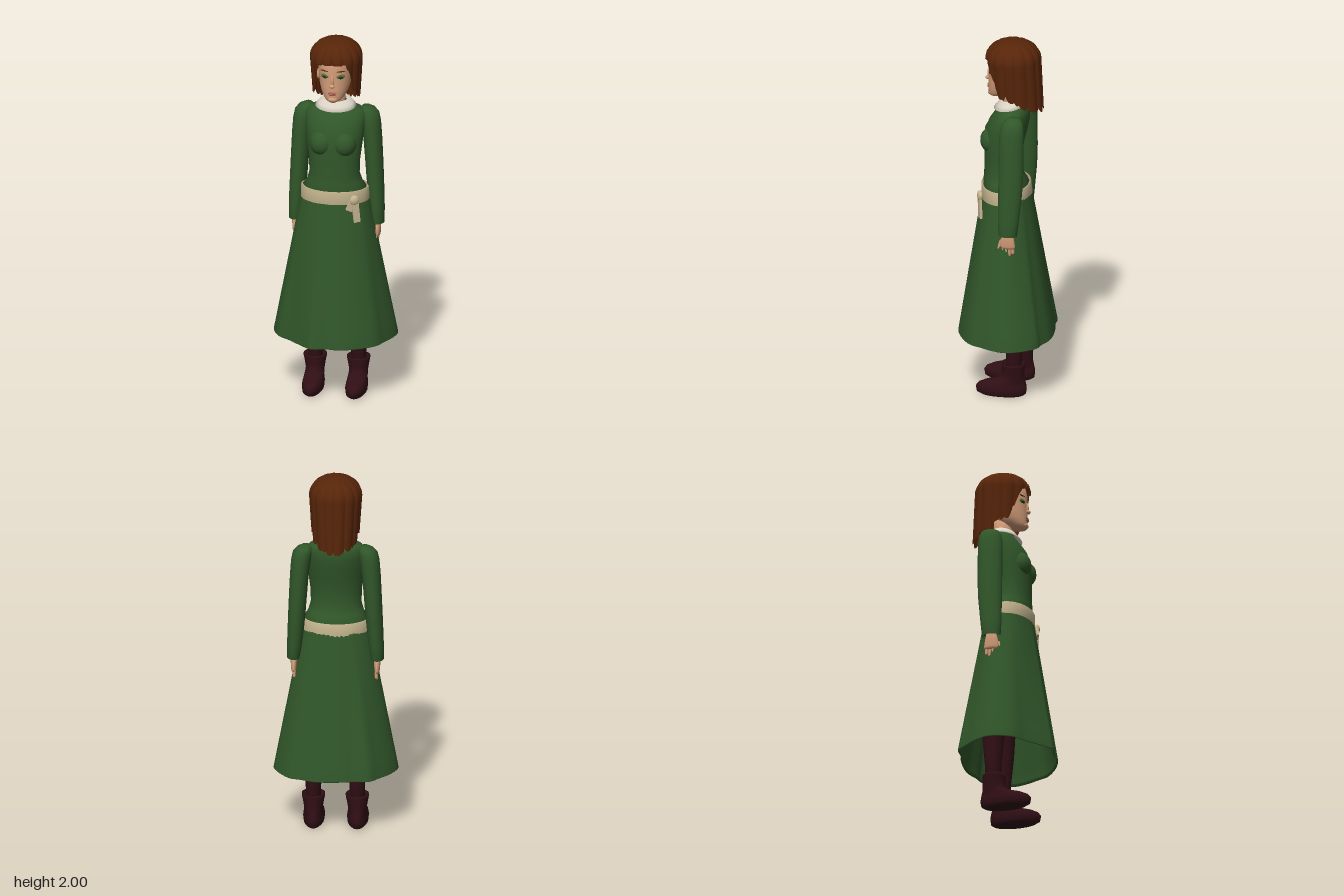
import * as THREE from 'three';

const mat = (name, color, side = THREE.FrontSide) => {
  const m = new THREE.MeshStandardMaterial({ color, side });
  m.name = name;
  return m;
};
const TAU = Math.PI * 2;

// Skin a stack of closed rings (listed bottom to top) into a smooth surface.
function skin(rings, capBottom = false, capTop = false) {
  const n = rings[0].length, pos = [], idx = [];
  rings.forEach(r => r.forEach(p => pos.push(p[0], p[1], p[2])));
  for (let j = 0; j < rings.length - 1; j++) for (let i = 0; i < n; i++) {
    const k = (i + 1) % n, a = j * n + i, b = j * n + k, c = b + n, d = a + n;
    idx.push(a, b, c, a, c, d);
  }
  const cap = (j, up) => {
    const c = pos.length / 3, mid = [0, 1, 2].map(q => rings[j].reduce((s, p) => s + p[q], 0) / n);
    pos.push(...mid);
    for (let i = 0; i < n; i++) {
      const a = j * n + i, b = j * n + (i + 1) % n;
      up ? idx.push(a, b, c) : idx.push(b, a, c);
    }
  };
  if (capBottom) cap(0, false);
  if (capTop) cap(rings.length - 1, true);
  const g = new THREE.BufferGeometry();
  g.setAttribute('position', new THREE.Float32BufferAttribute(pos, 3));
  g.setIndex(idx);
  g.computeVertexNormals();
  return g;
}

// Elliptical ring: height, half width, front z, back z, centre x.
const ring = ([y, rx, zf, zb, cx = 0], n = 32) => Array.from({ length: n }, (_, i) => {
  const t = i / n * TAU;
  return [cx + rx * Math.sin(t), y, (zf + zb) / 2 + (zf - zb) / 2 * Math.cos(t)];
});
const loft = (rows, caps = true, n = 32) => skin(rows.map(r => ring(r, n)), caps, caps);

// Piecewise linear lookup.
function lookup(table, x) {
  for (let i = 1; i < table.length; i++) if (x <= table[i][0]) {
    const [x0, y0] = table[i - 1], [x1, y1] = table[i];
    return y0 + (y1 - y0) * (x - x0) / (x1 - x0);
  }
  return table[table.length - 1][1];
}

// Lobed hair shell: short fringe, long back, pointed lock ends.
function hairShell(scale, lobes, phase, depth) {
  const n = 144, hem = [[0, 1.9], [30, 1.885], [40, 1.85], [50, 1.76], [62, 1.7], [95, 1.68], [125, 1.63], [180, 1.6]];
  const rings = [];
  for (let j = 0; j <= 22; j++) rings.push(Array.from({ length: n }, (_, i) => {
    const t = i / n * TAU, deg = Math.abs(t > Math.PI ? t - TAU : t) * 180 / Math.PI;
    const lobe = Math.sqrt(Math.abs(Math.sin(t * lobes / 2 + phase)));
    const bottom = lookup(hem, deg) + (1 - lobe) * 0.045;
    let y, r, fall = 0;
    if (j >= 10) {
      const a = (22 - j) / 12 * Math.PI / 2;
      r = Math.pow(Math.sin(a), 0.85);
      y = 1.895 + 0.105 * scale * Math.cos(a);
    } else {
      const s = 1 - j / 10;
      y = 1.895 + (bottom - 1.895) * s;
      r = 1;
      fall = Math.max(0, 1.895 - y) / 0.3;
    }
    r *= scale * (1 - depth * (1 - lobe));
    const back = Math.max(0, -Math.cos(t));
    return [0.142 * r * (1 - 0.14 * fall) * Math.sin(t), y,
      -0.037 + 0.15 * r * (1 - 0.1 * fall * (1 - back)) * Math.cos(t) - 0.015 * fall];
  }));
  return skin(rings);
}

export function createModel() {
  const green = mat('dress green', 0x31572a, THREE.DoubleSide);
  const brown = mat('hair brown', 0x572509, THREE.DoubleSide);
  const flesh = mat('skin', 0xd29c78);
  const cream = mat('belt cream', 0xc6b690, THREE.DoubleSide);
  const linen = mat('collar linen', 0xd9d2c4, THREE.DoubleSide);
  const leather = mat('boot leather', 0x300f15);
  const lid = mat('eyelid green', 0x56703c);
  const iris = mat('eye dark', 0x24301c);
  const lips = mat('lips', 0xb06a56);

  const model = new THREE.Group();
  const add = (name, geo, m, parent = model) => {
    const o = new THREE.Mesh(geo, m);
    o.name = name;
    parent.add(o);
    return o;
  };
  const blob = (name, m, p, s, parent = model) => {
    const o = add(name, new THREE.SphereGeometry(1, 20, 14), m, parent);
    o.position.set(...p);
    o.scale.set(...s);
    return o;
  };

  // Skirt: waist ellipse blended down to an uneven hem with a turned-in lip
  const hem = new THREE.CatmullRomCurve3([
    [0, .245], [.06, .25], [.17, .21], [.25, .15], [.28, .09], [.31, .03], [.33, -.04], [.32, -.1], [.24, -.21],
    [.19, -.225], [.1, -.26], [-.06, -.255], [-.1, -.245], [-.19, -.24], [-.24, -.19], [-.3, -.12], [-.335, -.04],
    [-.3, .08], [-.23, .14], [-.12, .24], [-.09, .26],
  ].map(([x, z]) => new THREE.Vector3(x, 0, z)), true).getPoints(84).slice(0, 84);
  const skirtRing = (t, y, k = 1) => hem.map(p => {
    const a = Math.atan2(p.x / .33, p.z / .255);
    const wx = .178 * Math.sin(a), wz = -.003 + .128 * Math.cos(a);
    return [(wx + (p.x - wx) * t) * k, y, (wz + (p.z - wz) * t) * k];
  });
  const skirt = [skirtRing(1, .34, .965), skirtRing(1, .325, .985), skirtRing(1, .33)];
  for (let i = 1; i <= 10; i++) skirt.push(skirtRing(1 - i / 10, .33 + .82 * i / 10));
  add('skirt', skin(skirt), green);

  // Bodice
  add('bodice', loft([
    [1.1, .165, .12, -.12], [1.18, .168, .122, -.115], [1.215, .148, .12, -.095], [1.26, .135, .117, -.08],
    [1.34, .138, .117, -.08], [1.42, .148, .117, -.095], [1.48, .155, .113, -.11], [1.54, .16, .092, -.122],
    [1.585, .16, .062, -.123], [1.612, .14, .04, -.115], [1.63, .1, .03, -.1], [1.65, .06, .015, -.085],
  ]), green);

  // Belt with knot and hanging ends
  add('belt', loft([[1.115, .176, .122, -.125], [1.11, .185, .132, -.137], [1.18, .182, .132, -.13],
    [1.18, .172, .122, -.12]], false, 48), cream);
  const knot = new THREE.Group();
  knot.name = 'beltKnot';
  knot.position.set(.12, 1.15, .11);
  knot.rotation.y = .45;
  model.add(knot);
  blob('knot', cream, [0, -.01, .01], [.026, .028, .016], knot);
  for (const [len, tilt, z] of [[.135, .1, .012], [.075, -.42, .006]]) {
    const end = add('beltEnd', new THREE.BoxGeometry(.036, len, .014), cream, knot);
    end.position.set(Math.sin(tilt) * len / 2, -Math.cos(tilt) * len / 2, z);
    end.rotation.z = tilt;
  }

  // Collar: flared band dipping at the front
  const collarRing = (y, rx, zf, zb, dip) => ring([y, rx, zf, zb], 40)
    .map(([x, h, z]) => [x, h - dip * (z + .03) / .1, z]);
  add('collar', skin([collarRing(1.632, .095, .05, -.1, .014), collarRing(1.628, .11, .065, -.108, .016),
    collarRing(1.645, .095, .05, -.1, .015), collarRing(1.668, .068, .028, -.09, .012),
    collarRing(1.66, .058, .02, -.084, .012)]), linen);

  // Neck, head and face
  add('neck', loft([[1.6, .055, .015, -.09], [1.66, .048, .012, -.085], [1.73, .047, .015, -.085]]), flesh);
  add('head', loft([
    [1.676, .02, .086, .04], [1.684, .038, .093, .01], [1.7, .055, .096, -.03], [1.73, .072, .096, -.08],
    [1.77, .084, .096, -.11], [1.82, .09, .093, -.13], [1.87, .094, .096, -.14], [1.92, .09, .085, -.135],
    [1.96, .06, .05, -.1],
  ]), flesh);
  blob('noseBridge', flesh, [0, 1.8, .092], [.01, .032, .012]);
  blob('noseTip', flesh, [0, 1.775, .099], [.014, .011, .015]);
  blob('upperLip', lips, [0, 1.735, .096], [.024, .006, .007]);
  blob('lowerLip', lips, [0, 1.726, .095], [.02, .007, .008]);
  blob('chin', flesh, [0, 1.695, .085], [.026, .016, .016]);

  // Hair: two overlapping lobed shells and a crown whorl
  add('hair', hairShell(1, 14, 0, .07), brown);
  add('hairUnderLayer', hairShell(.95, 22, .7, .05), brown);
  const whorl = add('crownWhorl', new THREE.TorusGeometry(.011, .004, 8, 18), brown);
  whorl.rotation.x = Math.PI / 2;
  whorl.position.set(0, 1.996, -.025);

  // Paired parts
  for (const s of [1, -1]) {
    const side = s > 0 ? 'left' : 'right';
    const eye = new THREE.Group();
    eye.name = side + 'Eye';
    eye.position.set(s * .042, 1.82, .0785);
    eye.rotation.y = s * .42;
    model.add(eye);
    blob('eyelid', lid, [0, .005, 0], [.025, .013, .005], eye);
    blob('iris', iris, [0, 0, .003], [.013, .008, .004], eye);
    blob('eyebrow', brown, [0, .035, .002], [.026, .004, .004], eye);
    blob(side + 'Ear', flesh, [s * .092, 1.8, -.02], [.012, .03, .02]);
    blob(side + 'Bust', green, [s * .06, 1.44, .066], [.066, .072, .064]);

    // Sleeve, closed at the shoulder and cuffed at the wrist
    add(side + 'Sleeve', loft([
      [.975, .028, -.008, -.092, s * .222], [.962, .036, 0, -.1, s * .222], [1.05, .041, .004, -.11, s * .217],
      [1.2, .046, .004, -.125, s * .207], [1.32, .048, .004, -.13, s * .2], [1.45, .05, .003, -.13, s * .192],
      [1.53, .053, .002, -.13, s * .183], [1.575, .052, -.006, -.126, s * .175], [1.6, .042, -.02, -.115, s * .165],
      [1.614, .022, -.04, -.095, s * .158],
    ]), green);

    // Hand with four fingers and a thumb
    const hand = new THREE.Group();
    hand.name = side + 'Hand';
    hand.position.set(s * .222, 0, -.05);
    model.add(hand);
    add('palm', loft([[.887, .012, .034, -.036], [.9, .015, .04, -.04], [.93, .017, .038, -.036],
      [.985, .018, .026, -.026]]), flesh, hand);
    [.037, .045, .042, .03].forEach((len, i) => {
      const f = add('finger', new THREE.CapsuleGeometry(.0085, len, 4, 10), flesh, hand);
      f.position.set(-s * .003, .893 - len / 2, .027 - i * .018);
    });
    const thumb = add('thumb', new THREE.CapsuleGeometry(.009, .04, 4, 10), flesh, hand);
    thumb.position.set(-s * .006, .905, .044);
    thumb.rotation.x = -.3;

    // Stocking and boot
    const x = s * .117;
    add(side + 'Stocking', loft([[.12, .038, -.022, -.102, x], [.25, .042, -.02, -.108, x],
      [.4, .054, -.005, -.12, x], [.75, .065, .02, -.115, s * .1]]), leather);
    add(side + 'Boot', loft([
      [0, .045, .115, -.11, x], [.012, .055, .138, -.128, x], [.04, .058, .144, -.133, x], [.06, .055, .13, -.131, x],
      [.074, .052, .1, -.128, x], [.09, .051, .035, -.124, x], [.108, .05, .004, -.12, x], [.14, .055, .002, -.12, x],
      [.175, .062, .004, -.122, x], [.187, .062, .004, -.122, x], [.187, .052, -.006, -.112, x],
      [.165, .042, -.016, -.102, x],
    ]), leather);
  }
  return model;
}
